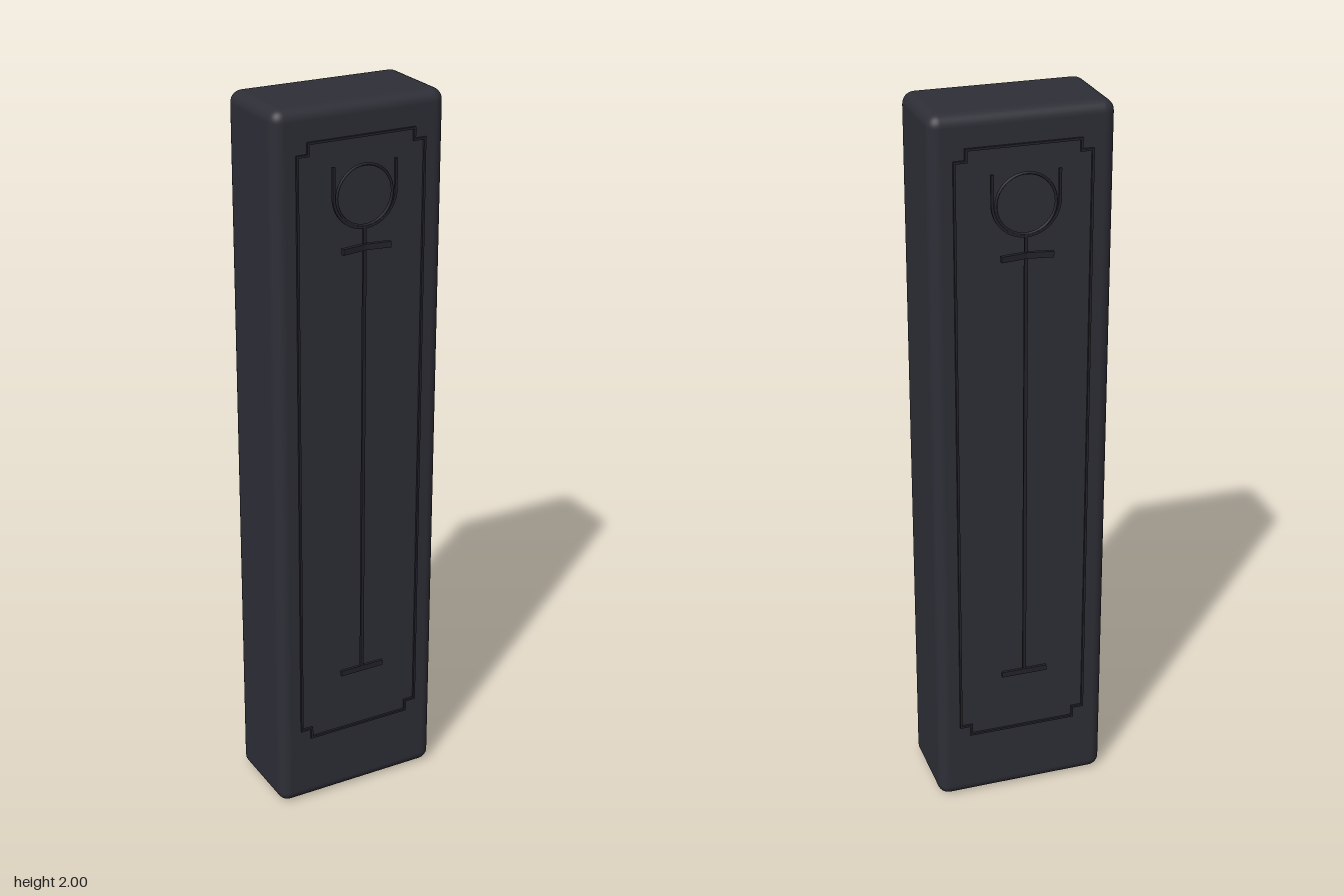
import * as THREE from 'three';
import { RoundedBoxGeometry } from 'three/addons/geometries/RoundedBoxGeometry.js';

const bodyMat = new THREE.MeshStandardMaterial({ name: 'charcoal', color: 0x2e2e37 });
const trimMat = new THREE.MeshStandardMaterial({ name: 'dark trim', color: 0x22222a });

function add(parent, name, geometry, material, x = 0, y = 0, z = 0) {
  const mesh = new THREE.Mesh(geometry, material);
  mesh.name = name;
  mesh.position.set(x, y, z);
  parent.add(mesh);
  return mesh;
}

// Rectangle with a square step cut out of every corner
function notchedOutline(w, y0, y1, n, Type) {
  const s = new Type();
  const pts = [
    [-w + n, y0], [w - n, y0], [w - n, y0 + n], [w, y0 + n],
    [w, y1 - n], [w - n, y1 - n], [w - n, y1], [-w + n, y1],
    [-w + n, y1 - n], [-w, y1 - n], [-w, y0 + n], [-w + n, y0 + n],
  ];
  s.setFromPoints(pts.map(([x, y]) => new THREE.Vector2(x, y)));
  s.closePath();
  return s;
}

// Border and emblem for one broad side
function createFace(name) {
  const face = new THREE.Group();
  face.name = name;

  // Thin raised border
  const border = notchedOutline(0.183, 0.2, 1.915, 0.03, THREE.Shape);
  border.holes.push(notchedOutline(0.177, 0.206, 1.909, 0.03, THREE.Path));
  add(face, 'border', new THREE.ExtrudeGeometry(border, { depth: 0.008, bevelEnabled: false }), trimMat, 0, 0, 0.128);

  // Ring cradled by a U-shaped yoke
  const z = 0.148;
  add(face, 'ring', new THREE.TorusGeometry(0.079, 0.004, 6, 40), trimMat, 0, 1.765, z);
  const yoke = new THREE.Shape();
  yoke.moveTo(-0.092, 1.848);
  yoke.lineTo(-0.092, 1.77);
  yoke.absarc(0, 1.77, 0.092, Math.PI, Math.PI * 2, false);
  yoke.lineTo(0.092, 1.848);
  yoke.lineTo(0.085, 1.848);
  yoke.lineTo(0.085, 1.77);
  yoke.absarc(0, 1.77, 0.085, Math.PI * 2, Math.PI, true);
  yoke.lineTo(-0.085, 1.848);
  yoke.closePath();
  add(face, 'yoke', new THREE.ExtrudeGeometry(yoke, { depth: 0.007, bevelEnabled: false, curveSegments: 24 }), trimMat, 0, 0, z - 0.003);

  // Shaft with its upper and lower crossbars
  add(face, 'shaft', new THREE.BoxGeometry(0.009, 1.29, 0.007), trimMat, 0, 1.04, z);
  for (const s of [-1, 1]) {
    const guard = add(face, 'guard', new THREE.BoxGeometry(0.07, 0.016, 0.011), trimMat, s * 0.035, 1.63, z + 0.007);
    guard.rotation.y = -s * 0.16;
  }
  add(face, 'footBar', new THREE.BoxGeometry(0.13, 0.016, 0.008), trimMat, 0, 0.395, z);
  return face;
}

export function createModel() {
  const model = new THREE.Group();
  model.name = 'decoratedBlock';
  add(model, 'body', new RoundedBoxGeometry(0.486, 2, 0.26, 4, 0.032), bodyMat, 0, 1, 0);
  const back = createFace('backFace');
  back.rotation.y = Math.PI;
  model.add(createFace('frontFace'), back);
  return model;
}
